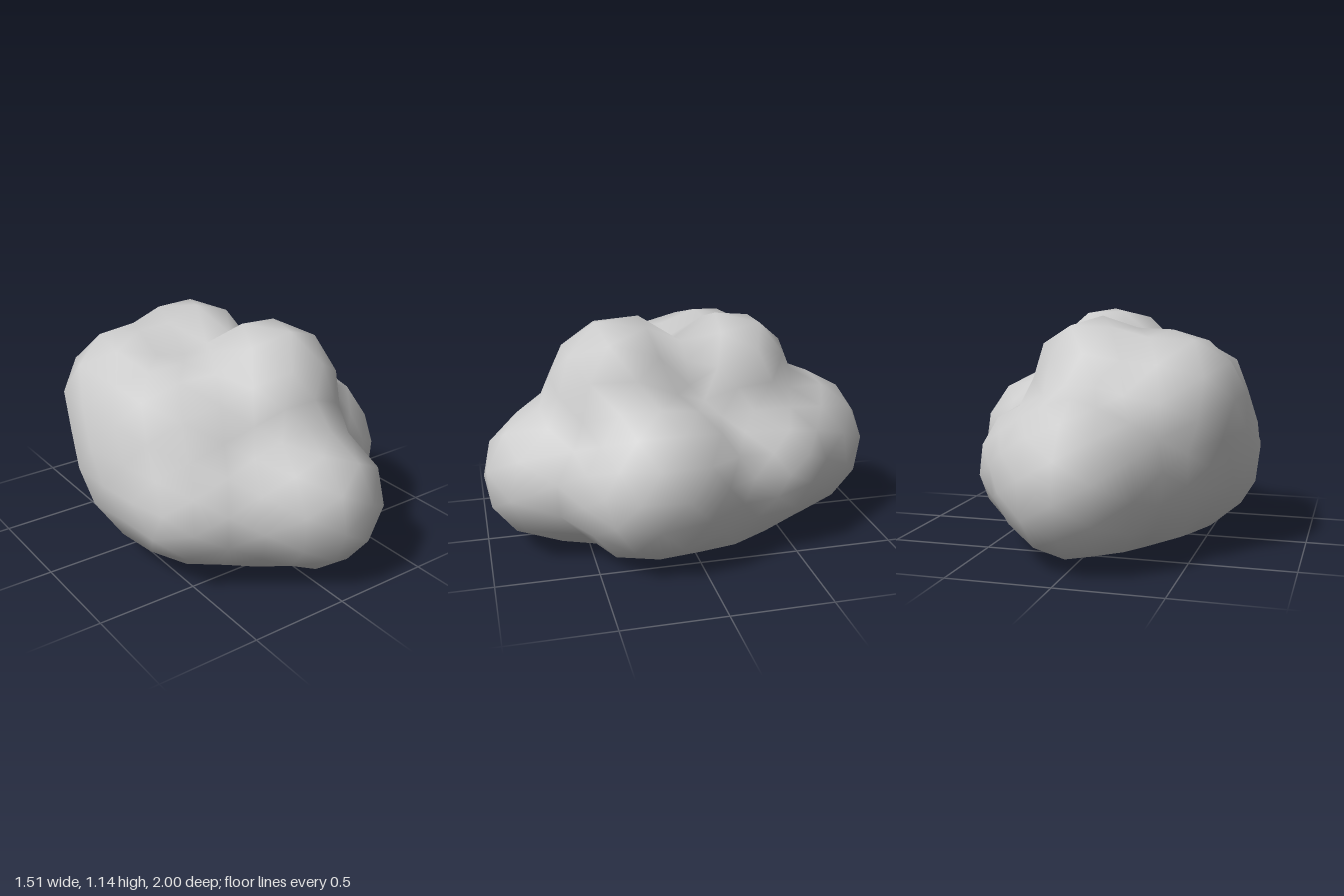
import * as THREE from 'three';
import { mergeVertices } from 'three/addons/utils/BufferGeometryUtils.js';

// Rounded lobes that swell out of the body: x, y, z, radius
const LOBES = [
  [0, 0.43, 0, 0.42],          // core
  [-0.01, 0.405, -0.62, 0.385], // back
  [0.235, 0.41, -0.39, 0.325], // back left
  [-0.28, 0.4, -0.3, 0.325],   // back right
  [0.3, 0.33, -0.08, 0.29],    // low left
  [0.4, 0.46, 0.16, 0.35],     // left side
  [0.38, 0.37, 0.26, 0.34],    // front left
  [0.08, 0.38, 0.665, 0.345],  // front
  [-0.19, 0.37, 0.51, 0.3],    // front bridge
  [-0.41, 0.39, 0.36, 0.315],  // front right
  [-0.37, 0.68, 0.2, 0.315],   // front right shoulder
  [-0.42, 0.51, -0.06, 0.335], // right side
  [-0.42, 0.38, 0.05, 0.325],  // low right
  [-0.36, 0.71, -0.23, 0.357], // upper right
  [0.08, 0.835, 0.31, 0.33],   // front crown
  [0.04, 0.67, 0.35, 0.345],   // front slope
  [0.01, 0.825, -0.265, 0.31], // back crown
];
const BLEND = 0.035;

// Smoothly blended distance to all lobes
function distance(p) {
  let sum = 0;
  for (const [x, y, z, r] of LOBES) {
    sum += Math.exp(-(Math.hypot(p.x - x, p.y - y, p.z - z) - r) / BLEND);
  }
  return -BLEND * Math.log(sum);
}

export function createModel() {
  const group = new THREE.Group();
  group.name = 'lumpyMound';

  // Shared-vertex sphere, so the normals come out smooth
  const ball = new THREE.IcosahedronGeometry(1, 4);
  ball.deleteAttribute('normal');
  ball.deleteAttribute('uv');
  const geometry = mergeVertices(ball, 1e-4);
  const pos = geometry.attributes.position;
  const centre = new THREE.Vector3(0, 0.45, 0);
  const dir = new THREE.Vector3();
  const p = new THREE.Vector3();

  for (let i = 0; i < pos.count; i++) {
    // Shrink each vertex inward until it rests on the lobes
    dir.fromBufferAttribute(pos, i).multiply(p.set(0.8, 0.75, 1)).normalize();
    let t = 1.5;
    for (let step = 0; step < 80; step++) {
      p.copy(centre).addScaledVector(dir, t);
      const d = distance(p);
      if (d < 0.0005) break;
      t -= d * 0.9;
    }
    // Shallow bowl-shaped underside, filling the hollows between lobes
    if (dir.y < 0) {
      const floor = 0.2 * p.x * p.x + 0.1 * p.z * p.z;
      const under = THREE.MathUtils.smoothstep(-dir.y, 0.35, 0.65);
      p.y = THREE.MathUtils.lerp(Math.max(p.y, floor), floor, under);
    }
    pos.setXYZ(i, p.x, p.y, p.z);
  }
  geometry.computeVertexNormals();

  const body = new THREE.Mesh(geometry, new THREE.MeshStandardMaterial({ color: 0xcccccc }));
  body.name = 'moundBody';
  group.add(body);
  return group;
}
